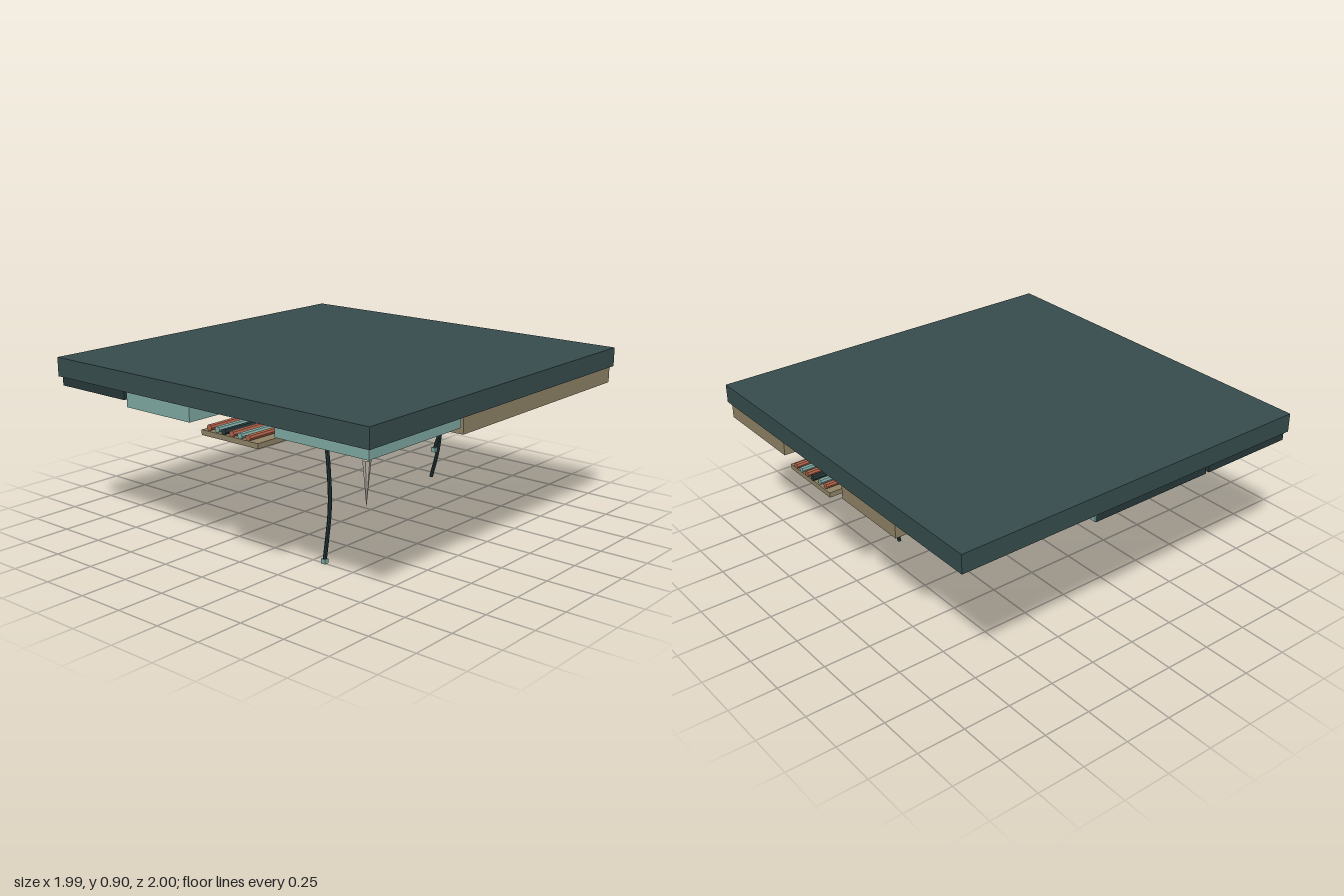
import * as THREE from 'three';

const mat = (name, color) => {
  const m = new THREE.MeshStandardMaterial({ color, flatShading: true });
  m.name = name;
  return m;
};

export function createModel() {
  const root = new THREE.Group();
  root.name = 'ceilingTile';

  const slate = mat('slate', 0x374c4d);
  const dark = mat('dark metal', 0x26383a);
  const black = mat('black slot', 0x141d1f);
  const teal = mat('pale teal', 0x7fa8a2);
  const tan = mat('tan panel', 0x8f8366);
  const coral = mat('coral pipe', 0xb0624a);
  const moss = mat('moss', 0x46713a);
  const stone = mat('pale stone', 0xb7b1a6);
  const yellow = mat('hazard yellow', 0xb3982f);

  const add = (name, geo, material, x = 0, y = 0, z = 0) => {
    const m = new THREE.Mesh(geo, material);
    m.name = name;
    m.position.set(x, y, z);
    root.add(m);
    return m;
  };
  // Box given by its limits on each axis
  const box = (name, material, [x0, x1], [y0, y1], [z0, z1]) =>
    add(name, new THREE.BoxGeometry(x1 - x0, y1 - y0, z1 - z0), material,
      (x0 + x1) / 2, (y0 + y1) / 2, (z0 + z1) / 2);
  const tube = (name, material, points, radius) => {
    const path = new THREE.CatmullRomCurve3(points.map(p => new THREE.Vector3(...p)));
    add(name, new THREE.TubeGeometry(path, 20, radius, 8), material);
    // Closing discs at both ends
    for (const [t, sign] of [[0, -1], [1, 1]]) {
      const cap = add(name + 'End', new THREE.CircleGeometry(radius, 8), material);
      cap.position.copy(path.getPointAt(t));
      cap.quaternion.setFromUnitVectors(new THREE.Vector3(0, 0, 1),
        path.getTangentAt(t).multiplyScalar(sign));
    }
  };

  // Ceiling slab
  box('slab', slate, [-0.995, 0.995], [0.815, 0.912], [-0.995, 0.995]);

  // Panels under the slab
  box('largeTanPanel', tan, [0.46, 0.98], [0.73, 0.815], [-0.98, 0.32]);
  box('cornerTealPanel', teal, [0.46, 0.98], [0.765, 0.815], [0.34, 0.98]);
  box('smallTanPanel', tan, [-0.5, -0.07], [0.735, 0.815], [-0.985, -0.26]);
  box('middleTealPanel', teal, [-0.5, -0.07], [0.735, 0.815], [-0.24, 0.43]);
  box('ventPanel', teal, [-0.5, -0.07], [0.737, 0.815], [0.45, 0.98]);
  box('darkPanelBack', dark, [-0.98, -0.52], [0.768, 0.815], [-0.25, 0.44]);
  box('darkPanelFront', dark, [-0.98, -0.52], [0.768, 0.815], [0.46, 0.98]);
  box('darkPanelTrim', teal, [-0.98, -0.52], [0.772, 0.812], [-0.257, -0.25]);

  // Painted strip and panel slot
  box('hazardStrip', yellow, [-0.95, -0.88], [0.763, 0.768], [-0.2, 0.44]);
  box('panelSlot', black, [-0.262, -0.245], [0.731, 0.735], [-0.92, -0.43]);

  // Vent slots
  for (let i = 0; i < 9; i++) {
    const x = -0.42 + i * 0.038;
    for (let j = 0; j < 3; j++) {
      const z = 0.54 + j * 0.115;
      box('ventSlot', black, [x, x + 0.024], [0.732, 0.737], [z, z + 0.1]);
    }
  }

  // Junction box
  box('junctionBox', dark, [0.65, 0.79], [0.705, 0.73], [-0.38, -0.27]);
  box('junctionCover', black, [0.68, 0.76], [0.7, 0.705], [-0.355, -0.295]);

  // Pipe tray and the straight pipes on it
  box('pipeTray', tan, [0.025, 0.375], [0.7, 0.725], [-0.995, 0.995]);
  [coral, teal, dark, coral, teal, coral].forEach((m, i) => {
    const length = i > 1 ? 2 : 1.98;
    const pipe = add('straightPipe', new THREE.CylinderGeometry(0.015, 0.015, length, 8),
      m, 0.07 + i * 0.05, 0.741, 0);
    pipe.rotation.x = Math.PI / 2;
  });

  // Pipes sagging below the tray
  for (const [x, low, m] of [[0.17, 0.66, dark], [0.22, 0.636, coral], [0.32, 0.655, teal]]) {
    const points = [];
    for (let i = -4; i <= 4; i++) {
      const t = i / 4;
      points.push([x, low + (0.705 - low) * t * t, t * 0.85]);
    }
    tube('saggingPipe', m, points, 0.015);
  }

  // Hanging cables, some with a plug at the end
  const cables = [
    [teal, true, [[0.07, 0.705, -0.185], [0.09, 0.62, -0.182], [0.094, 0.53, -0.168], [0.072, 0.425, -0.145]]],
    [dark, true, [[0.345, 0.705, 0.522], [0.358, 0.5, 0.51], [0.355, 0.3, 0.498], [0.322, 0.02, 0.498]]],
    [dark, true, [[0.235, 0.705, -0.55], [0.256, 0.58, -0.545], [0.252, 0.46, -0.53], [0.226, 0.33, -0.506]]],
    [dark, false, [[0.235, 0.705, -0.555], [0.243, 0.5, -0.54], [0.238, 0.33, -0.522], [0.208, 0.175, -0.506]]],
  ];
  for (const [m, plug, points] of cables) {
    tube('hangingCable', m, points, 0.01);
    if (plug) add('cablePlug', new THREE.BoxGeometry(0.024, 0.024, 0.024), teal, ...points[3]);
  }

  // Stalactites: x, z, top, tip, radius
  for (const [x, z, top, tip, r] of [
    [0.855, 0.84, 0.71, 0.5, 0.02], [0.19, -0.6, 0.71, 0.505, 0.018],
    [-0.325, -0.38, 0.705, 0.59, 0.018], [-0.605, -0.685, 0.71, 0.612, 0.021],
    [-0.485, -0.815, 0.71, 0.648, 0.02],
  ]) {
    const cone = add('stalactite', new THREE.ConeGeometry(r, top - tip, 7), stone, x, (top + tip) / 2, z);
    cone.rotation.x = Math.PI;
  }

  // Moss clumps
  for (const [x, y, z, r, h] of [[-0.27, 0.713, 0.77, 0.105, 0.026], [0.43, 0.715, -0.52, 0.112, 0.03]]) {
    const clump = add('mossClump', new THREE.SphereGeometry(1, 8, 6), moss, x, y, z);
    clump.scale.set(r, h, r);
  }

  return root;
}
